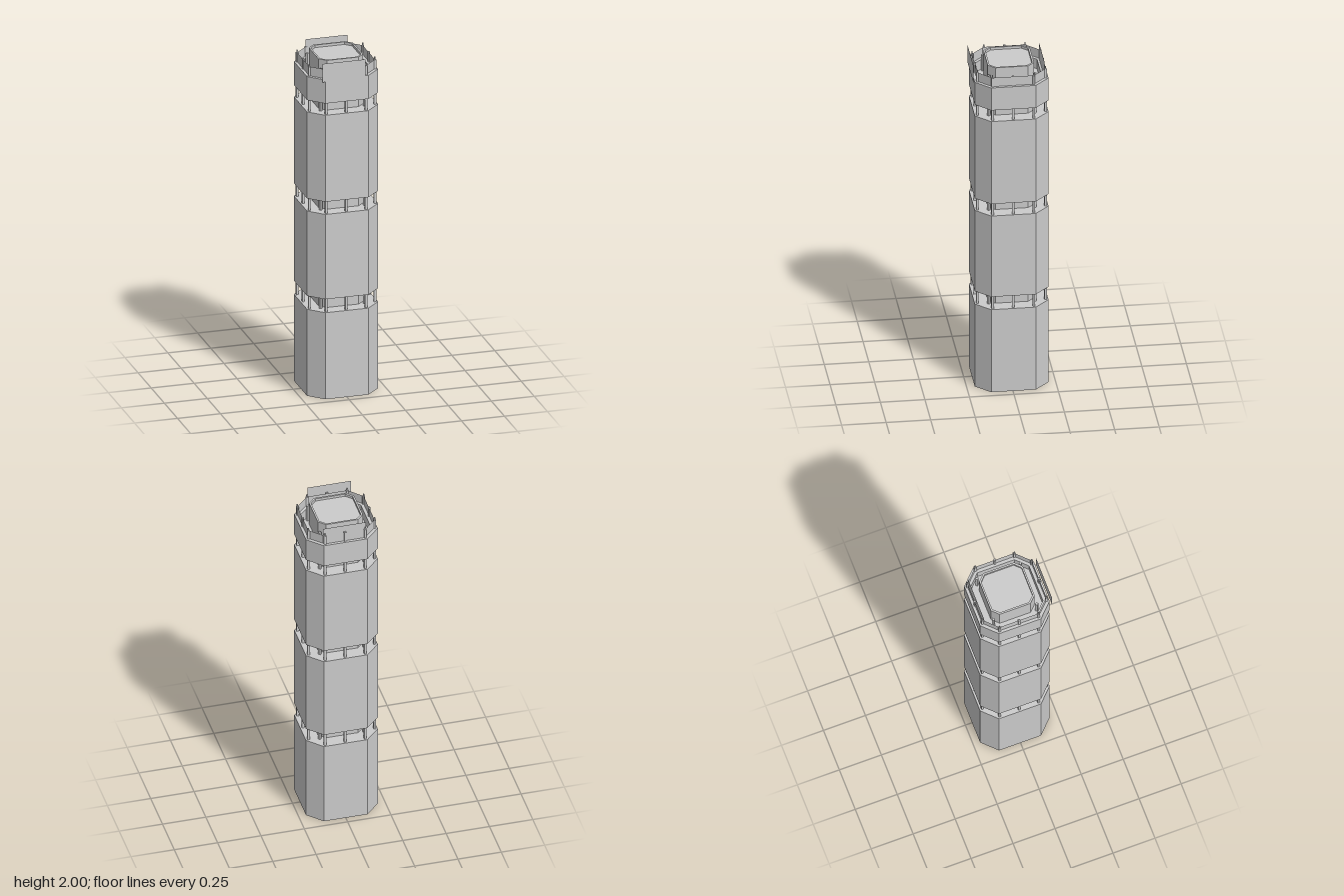
import * as THREE from 'three';

const mat = new THREE.MeshStandardMaterial({ color: 0xcccccc, flatShading: true });
const thinMat = new THREE.MeshStandardMaterial({ color: 0xcccccc, flatShading: true, side: THREE.DoubleSide });

// Corners of a square of half width h whose straight sides end at +-c
const corners = (h, c) => [
  [h, -c], [h, c], [c, h], [-c, h], [-h, c], [-h, -c], [-c, -h], [c, -h],
].map(([x, y]) => new THREE.Vector2(x, y));

// Upright chamfered prism from y0 to y1, optionally hollowed by a smaller outline
function prism(name, [h, c], y0, y1, hole) {
  const shape = new THREE.Shape(corners(h, c));
  if (hole) shape.holes.push(new THREE.Path(corners(...hole).reverse()));
  const geo = new THREE.ExtrudeGeometry(shape, { depth: y1 - y0, bevelEnabled: false });
  geo.rotateX(-Math.PI / 2);
  geo.translate(0, y0, 0);
  const mesh = new THREE.Mesh(geo, mat);
  mesh.name = name;
  return mesh;
}

function post(name, x, z, y0, y1, w, turn = 0) {
  const mesh = new THREE.Mesh(new THREE.BoxGeometry(w, y1 - y0, w), mat);
  mesh.position.set(x, (y0 + y1) / 2, z);
  mesh.rotation.y = turn;
  mesh.name = name;
  return mesh;
}

function panel(name, x0, x1, y0, y1, z) {
  const mesh = new THREE.Mesh(new THREE.PlaneGeometry(x1 - x0, y1 - y0), thinMat);
  mesh.position.set((x0 + x1) / 2, (y0 + y1) / 2, z);
  mesh.name = name;
  return mesh;
}

export function createModel() {
  const model = new THREE.Group();
  model.name = 'tower';
  const body = new THREE.Group();
  body.name = 'towerBody';
  body.position.z = -0.003;
  model.add(body);

  const outer = [0.207, 0.125], inner = [0.173, 0.11], rail = [0.191, 0.116];
  const core = [0.13, 0.092], coreInner = [0.12, 0.086];
  const cornerSpots = corners(...rail);
  const midSpots = [[0.191, 0], [-0.191, 0], [0, 0.191], [0, -0.191]];
  const diagonalSpots = [[1, 1], [1, -1], [-1, 1], [-1, -1]].map(([a, b]) => [a * 0.129, b * 0.129]);

  // Three main storeys and the top deck
  [[0, 0.515], [0.595, 1.1], [1.175, 1.69]].forEach(([a, b]) => body.add(prism('storey', outer, a, b)));
  body.add(prism('deck', outer, 1.76, 1.84));
  body.add(prism('parapet', outer, 1.84, 1.9, inner));

  // Recessed open levels: core plus columns
  [[0.515, 0.595], [1.1, 1.175], [1.69, 1.76]].forEach(([a, b]) => {
    body.add(prism('recessedCore', core, a, b));
    cornerSpots.forEach(p => body.add(post('cornerColumn', p.x, p.y, a, b, 0.013)));
    midSpots.forEach(([x, z]) => body.add(post('middleColumn', x, z, a, b, 0.013)));
    diagonalSpots.forEach(([x, z]) => body.add(post('diagonalColumn', x, z, a, b, 0.014, Math.PI / 4)));
  });

  // Roof house with a raised lip
  body.add(prism('roofHouse', core, 1.84, 1.97));
  body.add(prism('roofLip', core, 1.97, 1.985, coreInner));

  // Thin railing wall on the parapet
  const railing = new THREE.Group();
  railing.name = 'railing';
  cornerSpots.forEach((p, i) => {
    const q = cornerSpots[(i + 1) % 8];
    const side = new THREE.Mesh(new THREE.PlaneGeometry(p.distanceTo(q), 0.055), thinMat);
    side.position.set((p.x + q.x) / 2, 1.9275, (p.y + q.y) / 2);
    side.rotation.y = Math.atan2(p.x + q.x, p.y + q.y);
    side.name = 'railingPanel';
    railing.add(side);
    railing.add(post('railingPost', p.x, p.y, 1.9, 1.955, 0.013));
    railing.add(post('railingPostTip', p.x, p.y, 1.955, 1.97, 0.006));
  });
  midSpots.forEach(([x, z]) => railing.add(post('railingMiddlePost', x, z, 1.9, 1.96, 0.012)));
  diagonalSpots.forEach(([x, z]) => railing.add(post('deckPost', x, z, 1.84, 1.94, 0.014, Math.PI / 4)));
  body.add(railing);

  // Blank billboards at front and back
  model.add(panel('frontBillboard', -0.144, 0.106, 1.89, 2, 0.21));
  model.add(panel('backBillboard', -0.122, 0.125, 1.9, 2, -0.188));
  return model;
}
